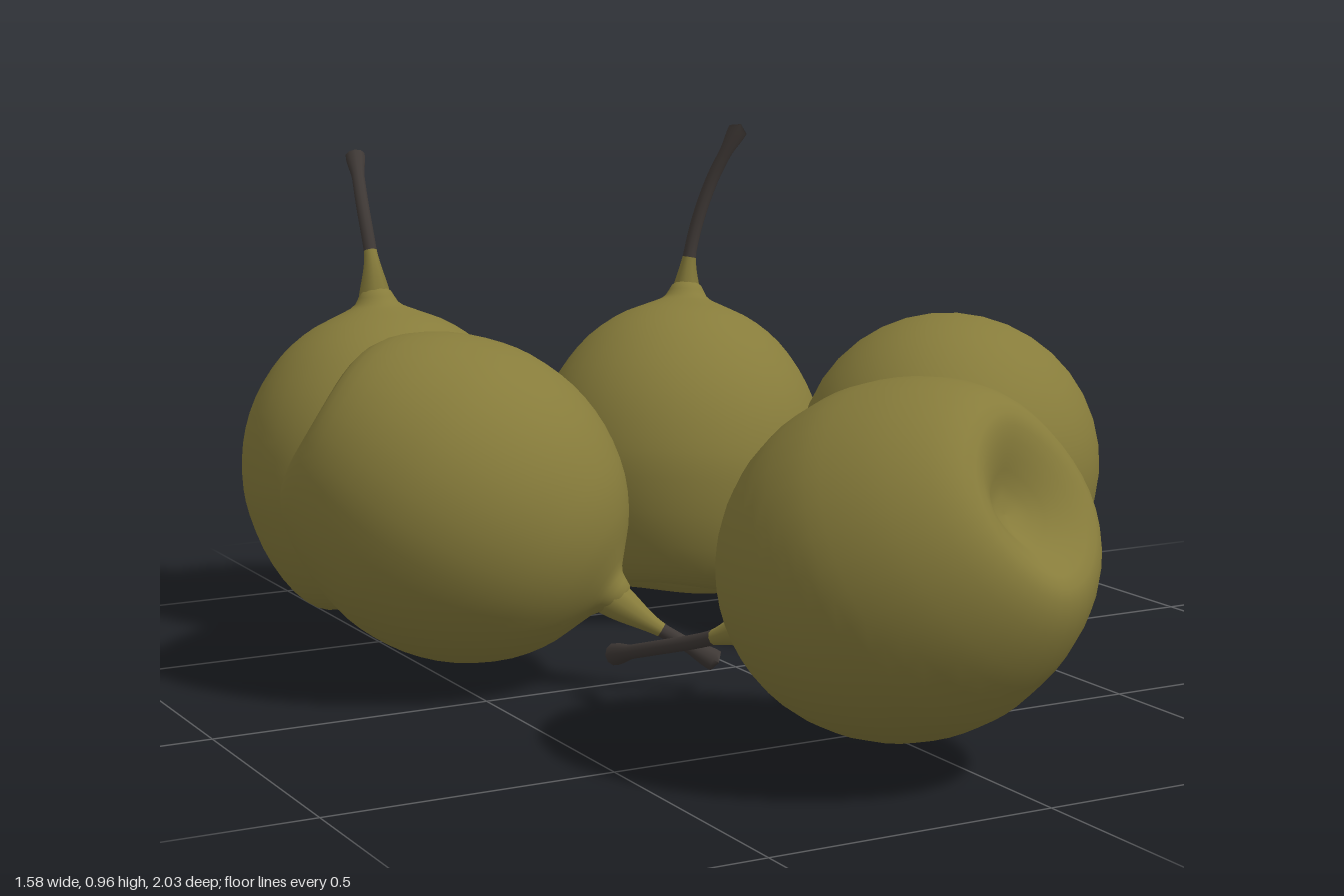
import * as THREE from 'three';

const skin = new THREE.MeshStandardMaterial({ color: 0x877c3b });
skin.name = 'olive skin';
const bark = new THREE.MeshStandardMaterial({ color: 0x3f3936 });
bark.name = 'dark stem';

const V = (p) => new THREE.Vector3(...p);

// Fruit profile from the dented base to the neck: [radius, height along the axis]
const PROFILE = [
  [0, -0.2], [0.04, -0.21], [0.09, -0.245], [0.145, -0.265], [0.2, -0.232], [0.25, -0.157],
  [0.28, -0.07], [0.288, 0], [0.279, 0.08], [0.25, 0.157], [0.2, 0.228], [0.14, 0.277],
  [0.08, 0.305], [0.045, 0.322], [0.027, 0.35], [0, 0.362],
];

function bodyGeometry() {
  const curve = new THREE.SplineCurve(PROFILE.map(([r, y]) => new THREE.Vector2(r, y)));
  const points = curve.getPoints(40);
  points.forEach((p) => { p.x = Math.max(p.x, 0); });
  const geo = new THREE.LatheGeometry(points, 36);
  // Gentle irregularity: slightly uneven lobes, stronger toward the base
  const pos = geo.attributes.position;
  for (let i = 0; i < pos.count; i++) {
    const x = pos.getX(i), y = pos.getY(i), z = pos.getZ(i);
    const a = Math.atan2(z, x);
    const lobe = 0.008 * Math.sin(3 * a + 0.6) * THREE.MathUtils.clamp(0.4 - y * 3, 0, 1);
    pos.setXYZ(i, x * (1 + lobe), y + lobe * 0.5, z * (1 + lobe));
  }
  return geo;
}

// Tapered stem: green fleshy foot, thin dark stalk, flared blunt tip
function stemGeometry(path) {
  const n = 32, sides = 10;
  const curve = new THREE.CatmullRomCurve3(path.map(V));
  const length = curve.getLength();
  const geo = new THREE.TubeGeometry(curve, n, 1, sides);
  const pos = geo.attributes.position;
  const p = new THREE.Vector3();
  for (let i = 0; i <= n; i++) {
    const c = curve.getPointAt(i / n);
    const d = (i / n) * length;
    let r = THREE.MathUtils.lerp(0.036, 0.013, THREE.MathUtils.smoothstep(d, 0, 0.13));
    r += 0.007 * THREE.MathUtils.smoothstep(d, length - 0.07, length - 0.01);
    if (i === n) r = 0.0005;
    for (let j = 0; j <= sides; j++) {
      const k = i * (sides + 1) + j;
      p.fromBufferAttribute(pos, k).sub(c).multiplyScalar(r).add(c);
      pos.setXYZ(k, p.x, p.y, p.z);
    }
  }
  // First rings are skin coloured, the rest is bark
  const split = Math.round((0.12 / length) * n) * sides * 6;
  geo.addGroup(0, split, 0);
  geo.addGroup(split, geo.index.count - split, 1);
  return geo;
}

// Each fruit: centre, direction of its stem end, and stem path
const FRUITS = [
  { name: 'backRightPear', centre: [-0.385, 0.277, -0.715], axis: [0, 0.32, -0.05],
    stem: [[-0.387, 0.58, -0.765], [-0.384, 0.68, -0.79], [-0.378, 0.79, -0.85], [-0.358, 0.885, -0.935]] },
  { name: 'backLeftPear', centre: [0.165, 0.28, -0.53], axis: [0.05, 0.3, -0.065],
    stem: [[0.212, 0.56, -0.595], [0.235, 0.69, -0.61], [0.272, 0.82, -0.595], [0.32, 0.94, -0.555]] },
  { name: 'middleRightPear', centre: [-0.485, 0.32, -0.155], axis: [0.24, -0.18, 0.2],
    stem: [[-0.275, 0.155, 0.02], [-0.22, 0.11, 0.068], [-0.17, 0.075, 0.102], [-0.12, 0.04, 0.155]] },
  { name: 'middleLeftPear', centre: [0.49, 0.315, -0.045], axis: [-0.19, -0.02, 0.25],
    stem: [[0.305, 0.288, 0.205], [0.24, 0.282, 0.28], [0.15, 0.255, 0.335], [0.05, 0.17, 0.36], [-0.04, 0.045, 0.357]] },
  { name: 'frontPear', centre: [-0.09, 0.33, 0.72], axis: [-0.125, -0.15, -0.26],
    stem: [[-0.212, 0.188, 0.47], [-0.25, 0.14, 0.35], [-0.285, 0.1, 0.22], [-0.3, 0.062, 0.09]] },
];

export function createModel() {
  const model = new THREE.Group();
  model.name = 'pears';
  const body = bodyGeometry();
  const up = new THREE.Vector3(0, 1, 0);
  for (const fruit of FRUITS) {
    const group = new THREE.Group();
    group.name = fruit.name;

    const flesh = new THREE.Mesh(body, skin);
    flesh.name = 'body';
    flesh.position.set(...fruit.centre);
    flesh.quaternion.setFromUnitVectors(up, V(fruit.axis).normalize());

    const stem = new THREE.Mesh(stemGeometry(fruit.stem), [skin, bark]);
    stem.name = 'stem';

    group.add(flesh, stem);
    model.add(group);
  }
  return model;
}
